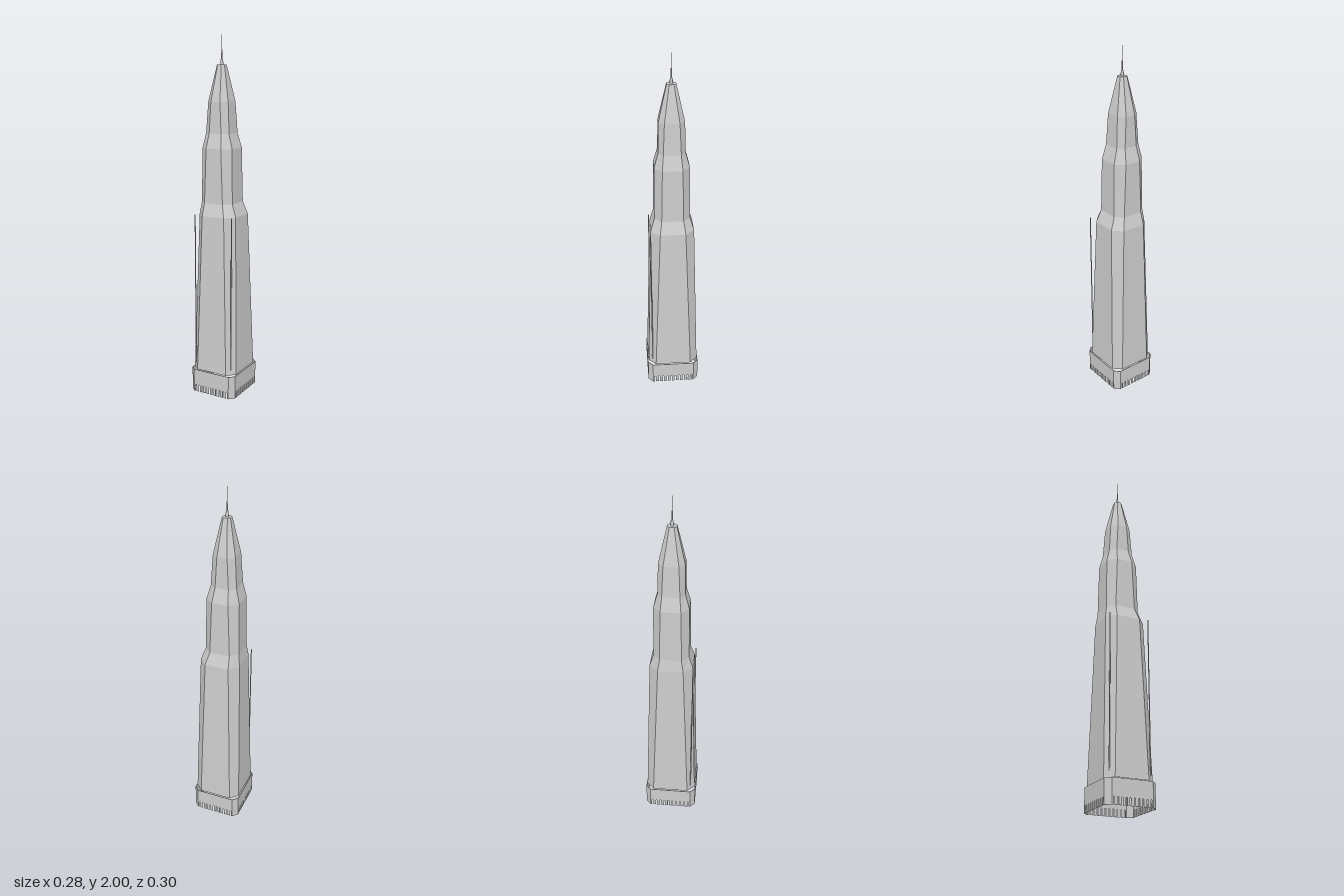
import * as THREE from 'three';

const stone = new THREE.MeshStandardMaterial({ color: 0xcccccc, side: THREE.DoubleSide });
stone.name = 'pale grey stone';

// Eight corners of a chamfered rectangle, counter-clockwise seen from the front wall onward.
// [hx, hz] are half sizes, [fx, fz] the half widths of the flat faces, cx the x offset.
function octagon(y, cx, hx, hz, fx, fz) {
  return [[-fx, hz], [fx, hz], [hx, fz], [hx, -fz], [fx, -hz], [-fx, -hz], [-hx, -fz], [-hx, fz]]
    .map(([x, z]) => [cx + x, y, z]);
}

// Flat-faceted skin through stacked octagons, closed at the top, open below.
function loft(rings) {
  const pos = [];
  const tri = (a, b, c) => pos.push(...a, ...b, ...c);
  for (let r = 0; r < rings.length - 1; r++) {
    for (let i = 0; i < 8; i++) {
      const j = (i + 1) % 8;
      const a = rings[r][i], b = rings[r][j], c = rings[r + 1][j], d = rings[r + 1][i];
      tri(a, b, c);
      tri(a, c, d);
    }
  }
  const top = rings[rings.length - 1];
  for (let i = 1; i < 7; i++) tri(top[0], top[i], top[i + 1]);
  const geo = new THREE.BufferGeometry();
  geo.setAttribute('position', new THREE.Float32BufferAttribute(pos, 3));
  geo.computeVertexNormals();
  return geo;
}

// Upright wall panel with an optional row of slots open at its foot.
function wallPanel(length, height, thickness, slots) {
  const s = new THREE.Shape();
  s.moveTo(0, 0);
  const step = length / (slots || 1), half = 0.0035, slotTop = 0.04;
  for (let i = 0; i < slots; i++) {
    const m = (i + 0.5) * step;
    s.lineTo(m - half, 0);
    s.lineTo(m - half, slotTop);
    s.lineTo(m + half, slotTop);
    s.lineTo(m + half, 0);
  }
  s.lineTo(length, 0);
  s.lineTo(length, height);
  s.lineTo(0, height);
  s.closePath();
  return new THREE.ExtrudeGeometry(s, { depth: thickness, bevelEnabled: false });
}

export function createModel() {
  const model = new THREE.Group();
  model.name = 'skyscraper';
  const add = (name, geo, x = 0, y = 0, z = 0, parent = model) => {
    const mesh = new THREE.Mesh(geo, stone);
    mesh.name = name;
    mesh.position.set(x, y, z);
    parent.add(mesh);
    return mesh;
  };

  // Tapering shaft with two setbacks and a pointed crown
  add('tower', loft([
    octagon(0.135, 0, 0.136, 0.146, 0.093, 0.104),
    octagon(1.03, -0.003, 0.115, 0.12, 0.068, 0.07),
    octagon(1.1, -0.012, 0.097, 0.098, 0.057, 0.06),
    octagon(1.4, -0.013, 0.093, 0.095, 0.046, 0.054),
    octagon(1.48, -0.015, 0.072, 0.073, 0.037, 0.047),
    octagon(1.65, -0.015, 0.062, 0.069, 0.028, 0.04),
    octagon(1.845, -0.015, 0.023, 0.025, 0.011, 0.012),
  ]));

  // Hollow podium: eight thin walls, slotted along the four long sides
  const podium = new THREE.Group();
  podium.name = 'podium';
  model.add(podium);
  const thickness = 0.003;
  const corners = octagon(0, 0, 0.141, 0.151, 0.113, 0.123);
  corners.forEach((p, i) => {
    const q = corners[(i + 1) % 8];
    const dx = q[0] - p[0], dz = q[2] - p[2], length = Math.hypot(dx, dz);
    const wall = add('podiumWall', wallPanel(length, 0.132, thickness, i % 2 ? 0 : 10),
      p[0] + (dz / length) * thickness, 0, p[2] - (dx / length) * thickness, podium);
    wall.rotation.y = Math.atan2(-dz, dx);
  });

  // Slim masts standing at the two front corners
  for (const side of [-1, 1]) {
    add('cornerMast', new THREE.CylinderGeometry(0.003, 0.003, 0.87, 8), side * 0.115, 0.6, 0.123);
  }

  // Stepped antenna on the crown
  const profile = [[0.009, 0], [0.007, 0.025], [0.004, 0.03], [0.003, 0.075], [0.0015, 0.08], [0.0006, 0.155], [0, 0.155]]
    .map(([r, y]) => new THREE.Vector2(r, y));
  add('antenna', new THREE.LatheGeometry(profile, 8), -0.015, 1.845, 0);

  return model;
}
